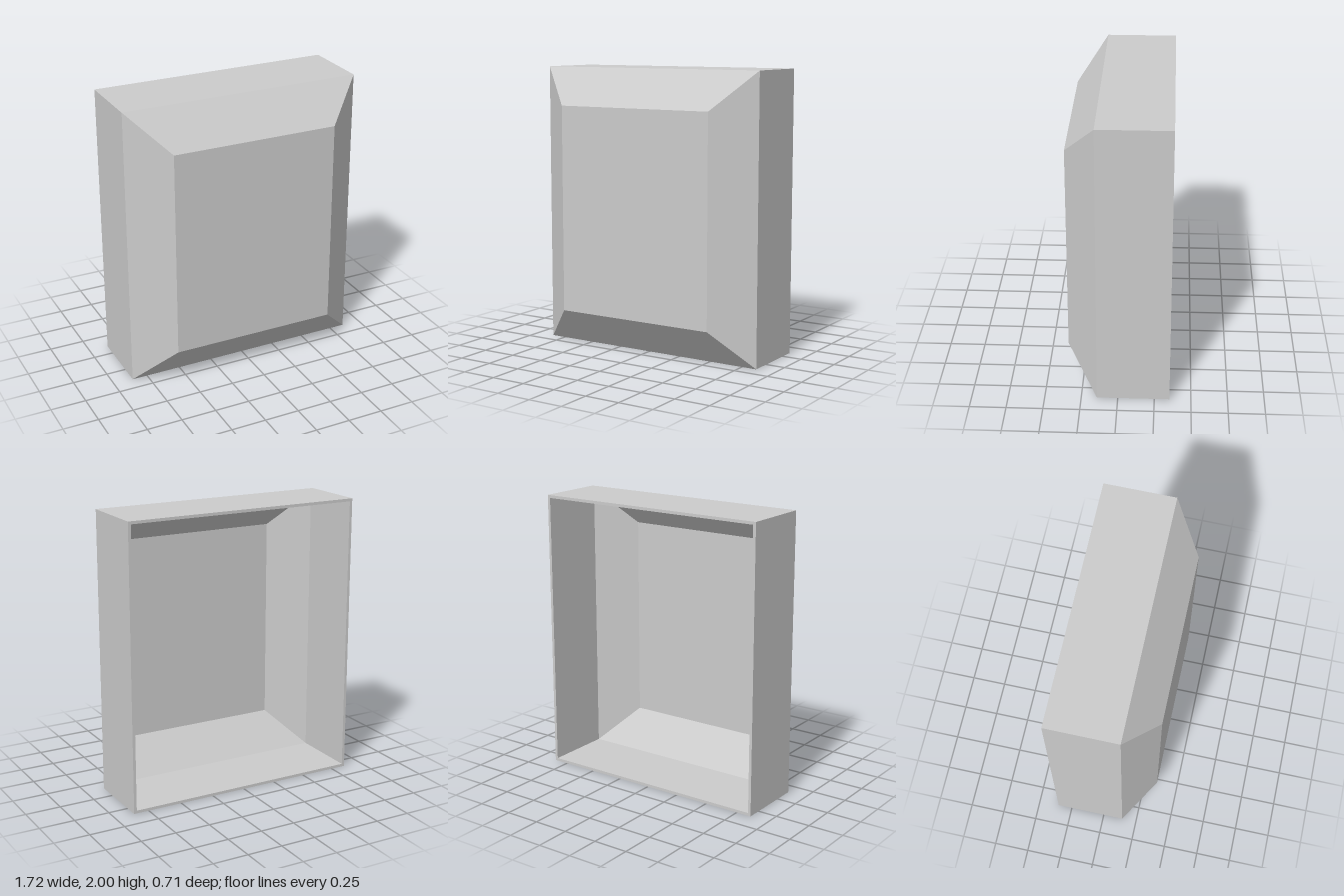
import * as THREE from 'three';

const W = 0.86, H = 1, WALL = 0.02;

// Rectangular cross-section, inset from the outer outline, at depth z
const ring = ([inset, z]) =>
  [[-1, -1], [1, -1], [1, 1], [-1, 1]].map(([sx, sy]) =>
    [sx * (W - inset), H + sy * (H - inset), z]);

// Skin consecutive rings with flat quads and cap both ends
function loft(sections) {
  const rings = sections.map(ring), pos = [];
  const quad = (a, b, c, d) => pos.push(...a, ...b, ...c, ...a, ...c, ...d);
  quad(...rings[0]);
  for (let r = 0; r < rings.length - 1; r++) {
    const a = rings[r], b = rings[r + 1];
    for (let i = 0; i < 4; i++) {
      const j = (i + 1) % 4;
      quad(a[i], b[i], b[j], a[j]);
    }
  }
  quad(...rings[rings.length - 1].reverse());
  const geo = new THREE.BufferGeometry();
  geo.setAttribute('position', new THREE.Float32BufferAttribute(pos, 3));
  geo.computeVertexNormals();
  return geo;
}

export function createModel() {
  const group = new THREE.Group();
  group.name = 'hollowPanel';
  const material = new THREE.MeshStandardMaterial({ color: 0xcccccc, flatShading: true });

  // Bevelled shell, open at the back: outside front to rear rim, then inside back to the front
  const shell = new THREE.Mesh(loft([
    [0.265, 0.353],          // front panel
    [0, 0.143],              // outer shoulder
    [0, -0.353],             // rear rim, outer edge
    [WALL, -0.353],          // rear rim, inner edge
    [WALL, 0.133],           // inner shoulder
    [0.272, 0.353 - WALL],   // back of the front panel
  ]), material);
  shell.name = 'bevelledShell';
  group.add(shell);
  return group;
}
